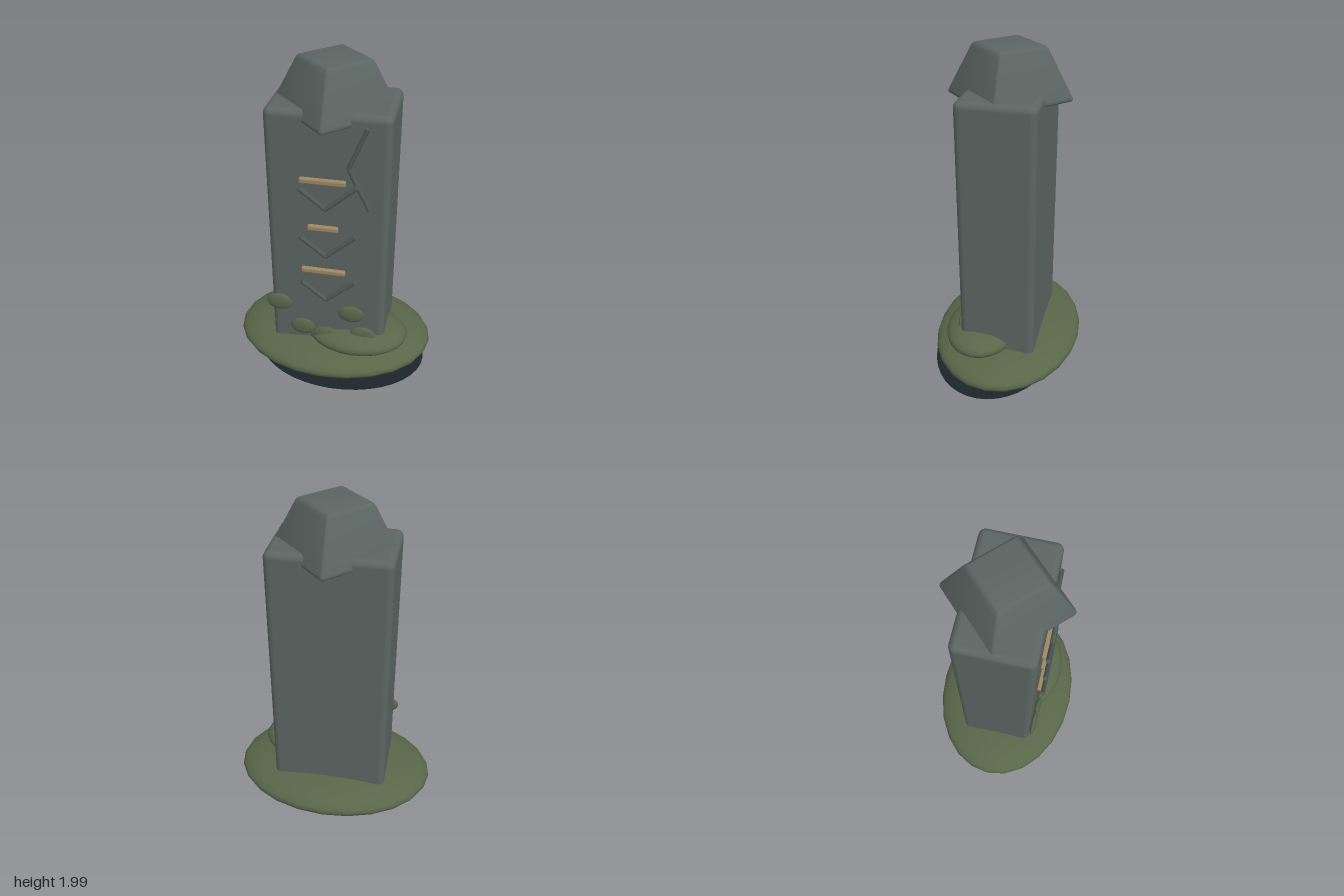
import * as THREE from 'three';
import { RoundedBoxGeometry } from 'three/addons/geometries/RoundedBoxGeometry.js';
import { toCreasedNormals } from 'three/addons/utils/BufferGeometryUtils.js';

export function createModel() {
  const model = new THREE.Group();
  model.name = 'mossyObelisk';

  const material = (name, color, side = THREE.FrontSide) => {
    const m = new THREE.MeshStandardMaterial({ color, side });
    m.name = name;
    return m;
  };
  const stone = material('stone', 0x5b6562);
  const carving = material('carvedStone', 0x505a58);
  const moss = material('moss', 0x586649);
  const tan = material('tanInlay', 0x9c8861);
  const dark = material('darkGround', 0x1b262a, THREE.DoubleSide);

  const add = (name, geometry, mat, x = 0, y = 0, z = 0) => {
    const mesh = new THREE.Mesh(geometry, mat);
    mesh.name = name;
    mesh.position.set(x, y, z);
    model.add(mesh);
    return mesh;
  };
  const mound = (name, [x, y, z], [rx, ry, rz], seg = 24) =>
    add(name, new THREE.SphereGeometry(1, seg, 16).scale(rx, ry, rz), moss, x, y, z);

  // thin rod between two points
  const rod = (name, a, b, r) => {
    const from = new THREE.Vector3(...a), to = new THREE.Vector3(...b);
    const dir = to.clone().sub(from);
    const mesh = add(name, new THREE.CylinderGeometry(r, r, dir.length(), 8), carving);
    mesh.position.copy(from).add(to).multiplyScalar(0.5);
    mesh.quaternion.setFromUnitVectors(new THREE.Vector3(0, 1, 0), dir.normalize());
  };

  // ground disc and mossy base
  add('groundDisc', new THREE.CircleGeometry(1, 40).rotateX(-Math.PI / 2).scale(0.54, 1, 0.39),
    dark, 0.06, 0.018, 0.06);
  mound('mossBase', [0, 0.125, 0], [0.627, 0.115, 0.456]);
  mound('mossHeap', [0.17, 0.24, 0.12], [0.32, 0.088, 0.23]);

  // pillar
  add('pillar', new RoundedBoxGeometry(0.706, 1.67, 0.454, 4, 0.04), stone, 0, 0.935, 0);

  // tapered cap, turned a quarter so its corners face the axes
  const cap = new RoundedBoxGeometry(0.53, 0.3, 0.53, 3, 0.025);
  const p = cap.attributes.position;
  for (let i = 0; i < p.count; i++) {
    const s = THREE.MathUtils.lerp(1, 0.56, (p.getY(i) + 0.15) / 0.3);
    p.setXYZ(i, p.getX(i) * s, p.getY(i), p.getZ(i) * s);
  }
  add('cap', toCreasedNormals(cap, 0.7).rotateY(Math.PI / 4), stone, 0, 1.85, 0);

  // tan bars and the chevrons beneath them
  [[1.365, 0.265], [1.06, 0.18], [0.757, 0.265]].forEach(([y, w], i) => {
    add('inlayBar' + (i + 1), new RoundedBoxGeometry(w, 0.035, 0.03, 2, 0.01), tan, -0.023, y, 0.235);
    const base = 1.205 - i * 0.32;
    rod('chevronLeftArm' + (i + 1), [-0.15, base + 0.12, 0.263], [0.003, base, 0.263], 0.014);
    rod('chevronRightArm' + (i + 1), [-0.003, base, 0.263], [0.173, base + 0.157, 0.263], 0.014);
  });

  // bent crack near the upper corner
  rod('crackUpper', [0.222, 1.705, 0.238], [0.122, 1.46, 0.236], 0.013);
  rod('crackLower', [0.122, 1.465, 0.236], [0.242, 1.21, 0.232], 0.013);

  // moss patches on the front face
  [[-0.3, 0.49], [0.15, 0.46], [-0.155, 0.315], [-0.01, 0.27], [0.225, 0.305]].forEach(([x, y], i) =>
    mound('mossPatch' + (i + 1), [x, y, 0.243], [0.08, 0.06, 0.02], 16));

  return model;
}
